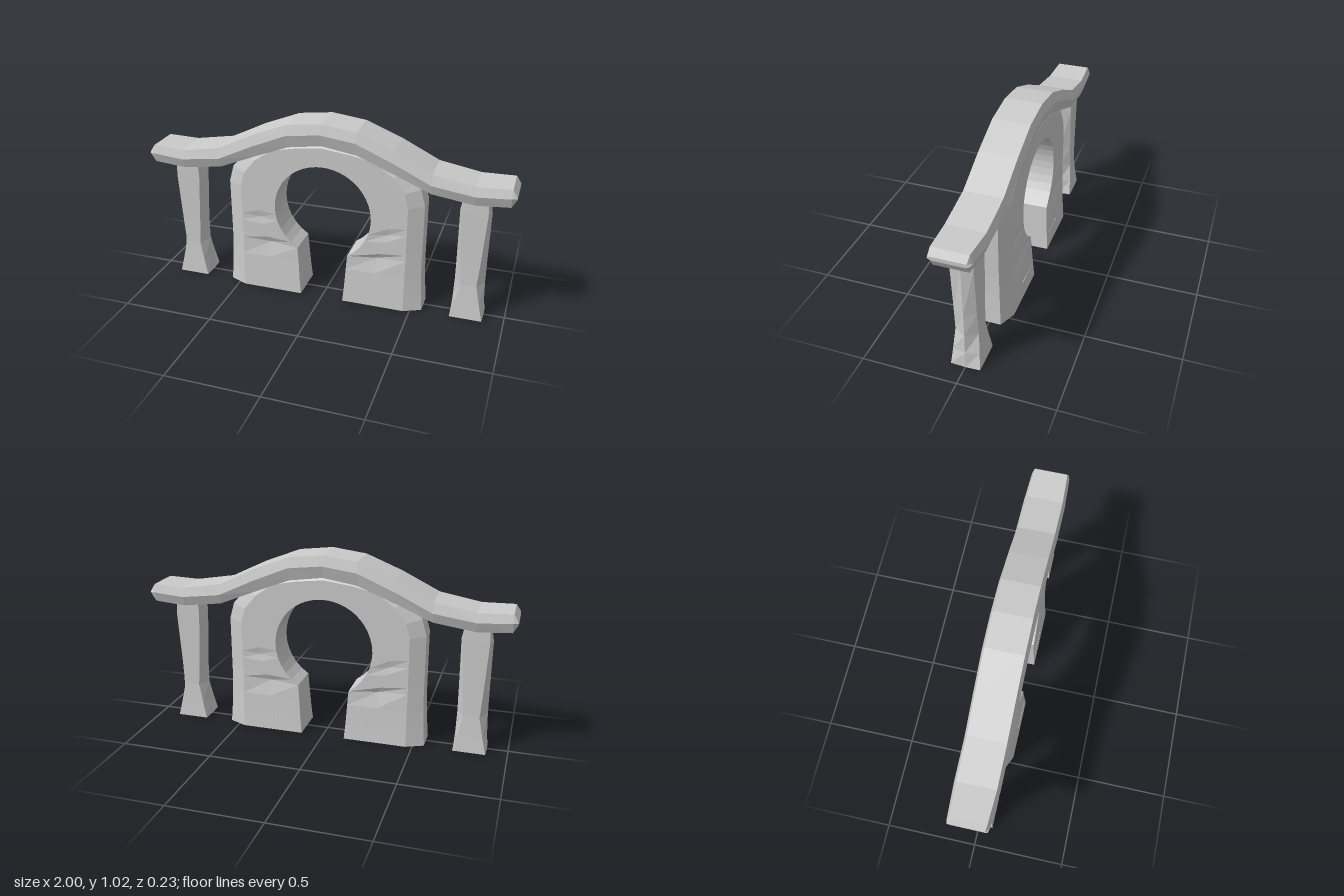
import * as THREE from 'three';

const material = new THREE.MeshStandardMaterial({ color: 0xcccccc, flatShading: true });

// Skins a row of equal-length cross-section rings and closes both ends.
function loft(name, rings) {
  const pos = [];
  const tri = (a, b, c) => pos.push(...a, ...b, ...c);
  const n = rings[0].length;
  const middle = (r) => [0, 1, 2].map((k) => r.reduce((s, p) => s + p[k], 0) / n);
  const first = rings[0], last = rings[rings.length - 1];
  const c0 = middle(first), c1 = middle(last);
  for (let i = 0; i < n; i++) {
    const j = (i + 1) % n;
    for (let s = 0; s < rings.length - 1; s++) {
      const a = rings[s], b = rings[s + 1];
      tri(a[i], a[j], b[j]);
      tri(a[i], b[j], b[i]);
    }
    tri(c0, first[j], first[i]);
    tri(c1, last[i], last[j]);
  }
  const geo = new THREE.BufferGeometry();
  geo.setAttribute('position', new THREE.Float32BufferAttribute(pos, 3));
  geo.computeVertexNormals();
  const mesh = new THREE.Mesh(geo, material);
  mesh.name = name;
  return mesh;
}

// Curved roof beam: six-sided section swept along x, pointed at both ends
function roof() {
  // x, top y, widest y, bottom y, taper of the depth
  const half = [
    [0, 1.02, 0.965, 0.9, 1], [0.185, 0.997, 0.942, 0.872, 1],
    [0.38, 0.92, 0.86, 0.795, 1], [0.58, 0.822, 0.765, 0.712, 1],
    [0.8, 0.783, 0.735, 0.682, 1], [0.975, 0.79, 0.745, 0.692, 0.92],
    [1, 0.755, 0.745, 0.735, 0.86],
  ];
  const left = half.slice(1).reverse().map(([x, ...r]) => [-x, ...r]);
  return loft('roofBeam', [...left, ...half].map(([x, t, m, b, k]) => [
    [x, t, 0.1 * k], [x, m, 0.115 * k], [x, b, 0.095 * k],
    [x, b, -0.095 * k], [x, m, -0.115 * k], [x, t, -0.1 * k],
  ]));
}

// Keyhole arch wall with a chamfered outer edge
function archWall() {
  const R = 0.27, CY = 0.51;
  // inner x, inner y, chamfer x, y, outer x, y, half depth, dent in the face
  const half = [
    [0.122, 0, 0.465, 0, 0.56, 0, 0.106, 0],
    [0.13, 0.09, 0.465, 0.09, 0.553, 0.09, 0.1, 0],
    [0.137, 0.2, 0.465, 0.2, 0.547, 0.2, 0.094, 0],
    [0.143, 0.28, 0.465, 0.3, 0.545, 0.3, 0.091, 0.014],
  ];
  // angle on the hole, then the matching chamfer and outer points
  const rim = [
    [-58, 0.465, 0.3, 0.545, 0.3], [-38, 0.465, 0.37, 0.545, 0.37],
    [-18, 0.465, 0.45, 0.545, 0.45], [0, 0.465, 0.53, 0.545, 0.53],
    [18, 0.465, 0.61, 0.545, 0.62], [36, 0.445, 0.69, 0.52, 0.71],
    [50, 0.38, 0.77, 0.44, 0.8], [62, 0.28, 0.84, 0.31, 0.88],
    [76, 0.15, 0.867, 0.16, 0.915], [90, 0, 0.885, 0, 0.93],
  ];
  for (let i = 1; i < rim.length; i++) {
    for (const t of [0.5, 1]) {
      const [a, ...outer] = rim[i].map((v, k) => THREE.MathUtils.lerp(rim[i - 1][k], v, t));
      const r = THREE.MathUtils.degToRad(a);
      half.push([R * Math.cos(r), CY + R * Math.sin(r), ...outer, 0.09, i === 2 && t === 1 ? 0.008 : 0]);
    }
  }
  const mirrored = half.slice(0, -1).reverse().map(([ix, iy, cx, cy, ox, ...r]) => [-ix, iy, -cx, cy, -ox, ...r]);
  return loft('archWall', [...half, ...mirrored].map(([ix, iy, cx, cy, ox, oy, d, dent]) => {
    const mx = (ix + cx) / 2, my = (iy + cy) / 2, side = d * 0.6;
    return [
      [ix, iy, d], [mx, my, d - dent], [cx, cy, d], [ox, oy, side],
      [ox, oy, -side], [cx, cy, -d], [mx, my, -d + dent], [ix, iy, -d],
    ];
  }));
}

// Six-sided post, pinched above a flared foot
function post(name, x) {
  // y, half width of face, half width at side ridge, half depth
  const rows = [
    [0, 0.087, 0.09, 0.077], [0.09, 0.066, 0.084, 0.069], [0.2, 0.043, 0.08, 0.061],
    [0.33, 0.052, 0.08, 0.059], [0.61, 0.068, 0.082, 0.059], [0.66, 0.066, 0.072, 0.058],
    [0.72, 0.058, 0.062, 0.056],
  ];
  const mesh = loft(name, rows.map(([y, f, p, z]) => [
    [-f, y, z], [f, y, z], [p, y, 0], [f, y, -z], [-f, y, -z], [-p, y, 0],
  ]));
  mesh.position.x = x;
  return mesh;
}

export function createModel() {
  const group = new THREE.Group();
  group.name = 'archGate';
  group.add(roof(), archWall(), post('leftPost', 0.8), post('rightPost', -0.8));

  // Thin seams across the feet of the arch
  for (const sx of [-1, 1]) for (const sz of [-1, 1]) {
    const seam = new THREE.Mesh(new THREE.BoxGeometry(0.15, 0.005, 0.006), material);
    seam.name = 'footSeam';
    seam.position.set(sx * 0.235, 0.092, sz * 0.0985);
    group.add(seam);
  }
  return group;
}
